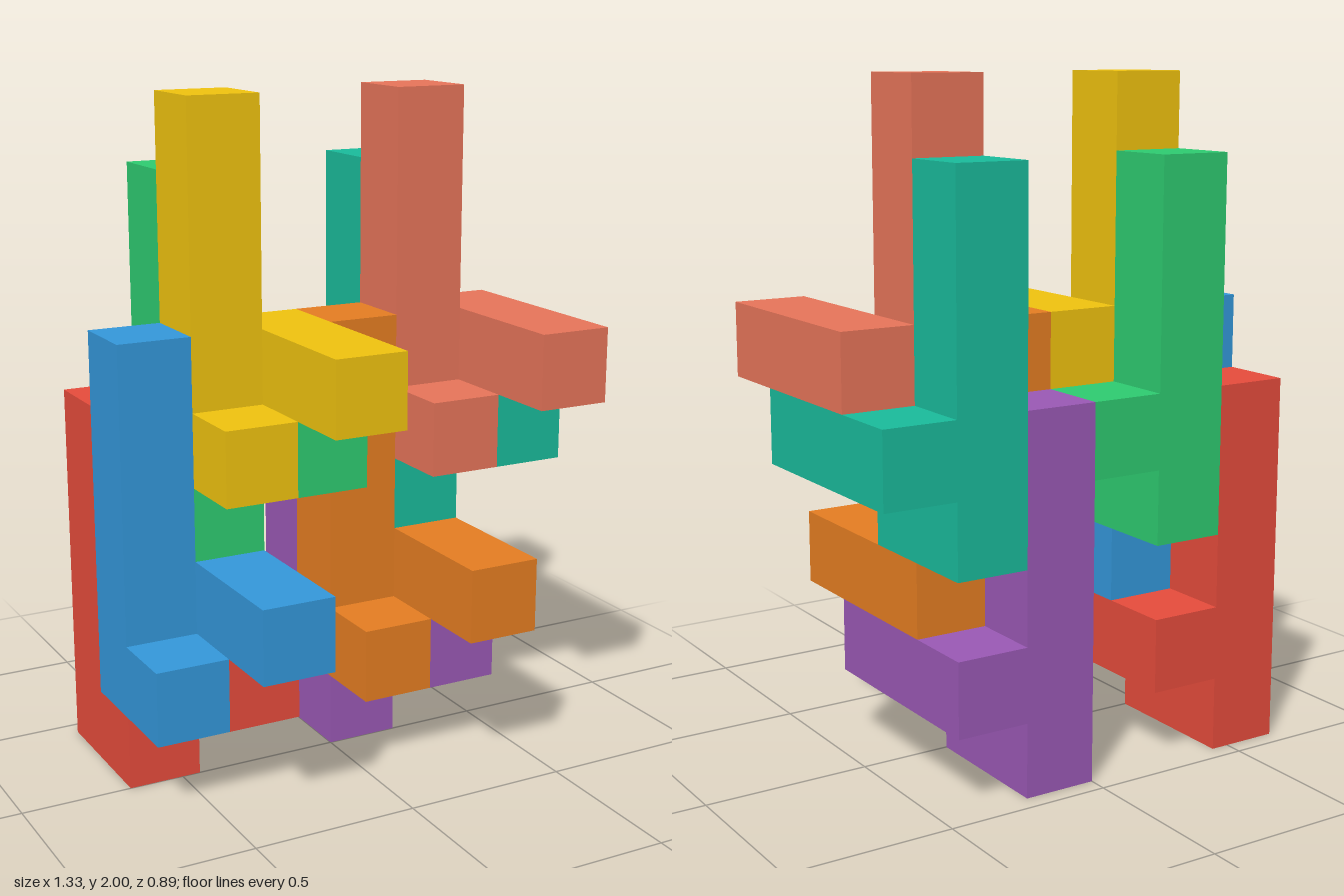
import * as THREE from 'three';

const U = 2 / 9; // edge of one cube cell

// box covering whole cells: minimum corner and size, both in cells
function cells(name, material, [x, y, z], [w, h, d]) {
  const mesh = new THREE.Mesh(new THREE.BoxGeometry(w * U, h * U, d * U), material);
  mesh.position.set((x + w / 2) * U, (y + h / 2) * U, (z + d / 2) * U);
  mesh.name = name;
  return mesh;
}

// one puzzle piece: upright column, foot in front of it, sideways offset bar
function createPiece(name, color) {
  const piece = new THREE.Group();
  piece.name = name;
  const material = new THREE.MeshStandardMaterial({ color, flatShading: true });
  piece.add(
    cells('column', material, [0, 0, 0], [1, 5, 1]),
    cells('foot', material, [0, 0, 1], [1, 1, 1]),
    cells('bar', material, [1, 1, 0], [1, 1, 3]),
  );
  return piece;
}

export function createModel() {
  const model = new THREE.Group();
  model.name = 'interlockingPieces';

  // back and front piece of each pair, with the pair's origin in cells
  const pairs = [
    { x: -3, y: 0, back: ['redPiece', 0xe74c3c], front: ['bluePiece', 0x3498db] },
    { x: -2, y: 3, back: ['greenPiece', 0x2ecc71], front: ['yellowPiece', 0xf1c40f] },
    { x: 0, y: 0, back: ['purplePiece', 0x9b59b6], front: ['orangePiece', 0xe67e22] },
    { x: 1, y: 3, back: ['tealPiece', 0x1abc9c], front: ['coralPiece', 0xe8755a] },
  ];
  for (const { x, y, back, front } of pairs) {
    // the front piece nests one cell up and one cell forward
    [back, front].forEach(([name, color], step) => {
      const piece = createPiece(name, color);
      piece.position.set(x * U, (y + step) * U, (step - 2) * U);
      model.add(piece);
    });
  }
  return model;
}
